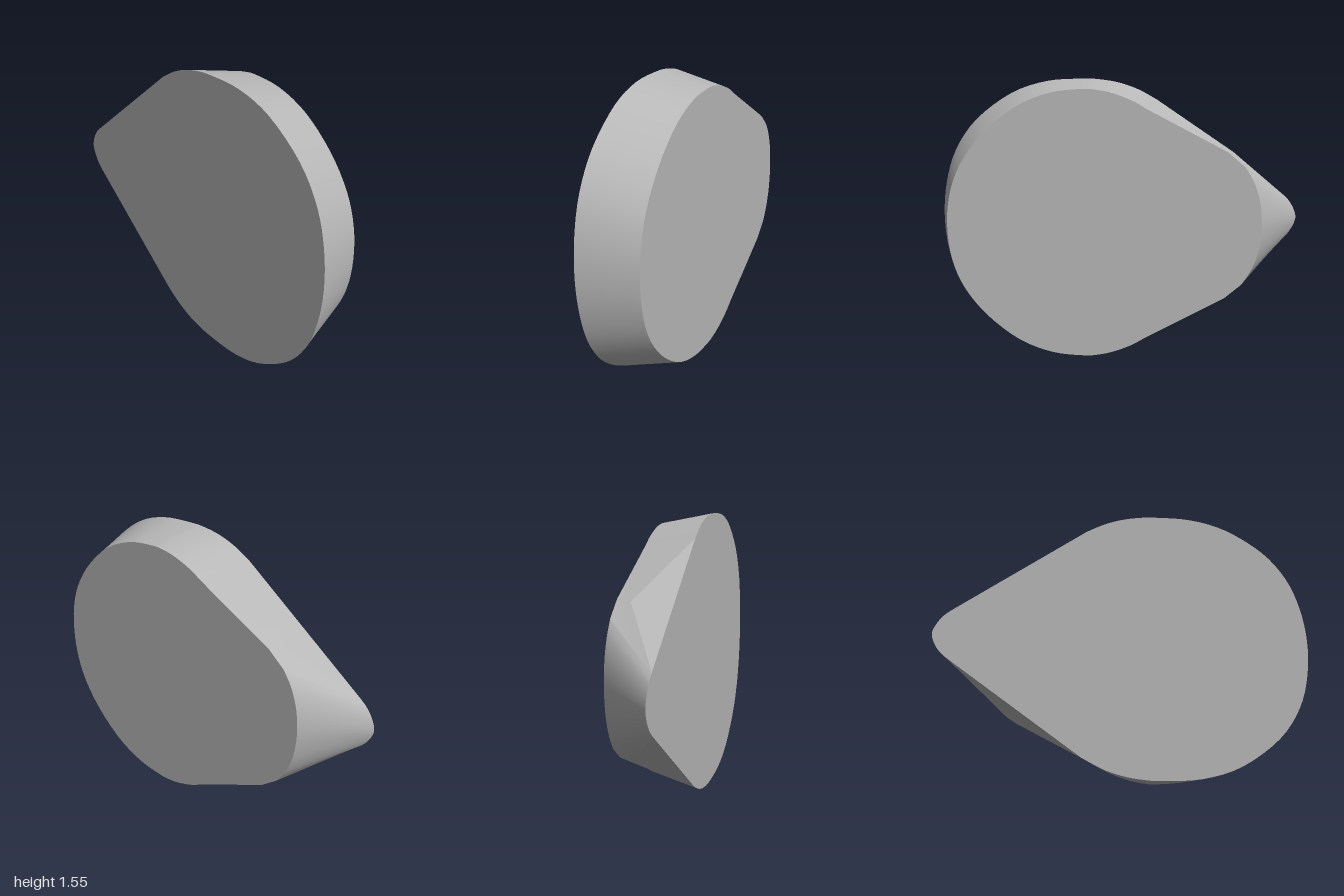
import * as THREE from 'three';

const MID = 0.775; // height of the symmetry plane
const DEPTH = 0.142; // half thickness

// Half outlines as [x, half height], front and back matched point by point
const FRONT_ROUND = [[-0.2, 0.663], [-0.1, 0.717], [0, 0.752], [0.1, 0.77], [0.2, 0.775], [0.4, 0.763],
  [0.6, 0.698], [0.8, 0.553], [0.92, 0.385], [0.98, 0.2], [1, 0]];
const BACK_ROUND = [[-0.13, 0.62], [-0.06, 0.66], [0.04, 0.698], [0.12, 0.715], [0.2, 0.72], [0.37, 0.7],
  [0.55, 0.627], [0.72, 0.49], [0.84, 0.332], [0.902, 0.17], [0.92, 0]];
const FRONT_TIP = [[-0.91, 0.141], [-0.95, 0.105], [-0.983, 0.055], [-1, 0]];
const BACK_TIP = [[-0.65, 0.32], [-0.7, 0.24], [-0.737, 0.13], [-0.75, 0]];
const RIDGE = [-0.6, 0.39, -0.06];
const BACK_RIDGE = [-0.56, 0.395];

// Smooth arc through a half outline and its mirror image; sign is the starting side
function arc(half, sign, steps) {
  const all = half.map(([x, h]) => [x, sign * h])
    .concat(half.slice(0, -1).reverse().map(([x, h]) => [x, -sign * h]));
  return new THREE.SplineCurve(all.map(([x, h]) => new THREE.Vector2(x, MID + h))).getPoints(steps);
}

const at = (p, z) => new THREE.Vector3(p.x, p.y, z);

function facets(points, index) {
  const geo = new THREE.BufferGeometry().setFromPoints(points);
  geo.setIndex(index);
  geo.computeVertexNormals();
  return geo;
}

export function createModel() {
  const group = new THREE.Group();
  const grey = new THREE.MeshStandardMaterial({ color: 0xb8b8b8 });
  grey.name = 'plain grey';
  const add = (name, geo) => {
    const mesh = new THREE.Mesh(geo, grey);
    mesh.name = name;
    group.add(mesh);
  };

  const frontRound = arc(FRONT_ROUND, -1, 80);
  const backRound = arc(BACK_ROUND, -1, 80);
  const frontTip = arc(FRONT_TIP, 1, 24);
  const backTip = arc(BACK_TIP, 1, 24);
  const ridge = (s) => new THREE.Vector3(RIDGE[0], MID + s * RIDGE[1], RIDGE[2]);
  const backRidge = (s) => new THREE.Vector2(BACK_RIDGE[0], MID + s * BACK_RIDGE[1]);

  // Flat front and back faces
  const frontOutline = [...frontRound, ...frontTip];
  const backOutline = [...backRound, backRidge(1), ...backTip, backRidge(-1)];
  add('frontFace', new THREE.ShapeGeometry(new THREE.Shape(frontOutline)).translate(0, 0, DEPTH));
  const flipped = backOutline.map((p) => new THREE.Vector2(-p.x, p.y)).reverse();
  add('backFace', new THREE.ShapeGeometry(new THREE.Shape(flipped)).rotateY(Math.PI).translate(0, 0, -DEPTH));

  // Sloping rim, dipping to a ridge point on each straight side
  const rimFront = [...frontRound.map((p) => at(p, DEPTH)), ridge(1),
    ...frontTip.map((p) => at(p, DEPTH)), ridge(-1)];
  const rimBack = backOutline.map((p) => at(p, -DEPTH));
  const n = rimFront.length;
  const index = [];
  for (let i = 0; i < n; i++) {
    const j = (i + 1) % n;
    index.push(i, n + i, j, j, n + i, n + j);
  }
  add('rim', facets([...rimFront, ...rimBack], index));

  // Flat triangles between the straight front edges and the ridge points
  const first = (a) => at(a[0], DEPTH);
  const last = (a) => at(a[a.length - 1], DEPTH);
  add('upperFlat', facets([last(frontRound), ridge(1), first(frontTip)], [0, 1, 2]));
  add('lowerFlat', facets([last(frontTip), ridge(-1), first(frontRound)], [0, 1, 2]));
  return group;
}
